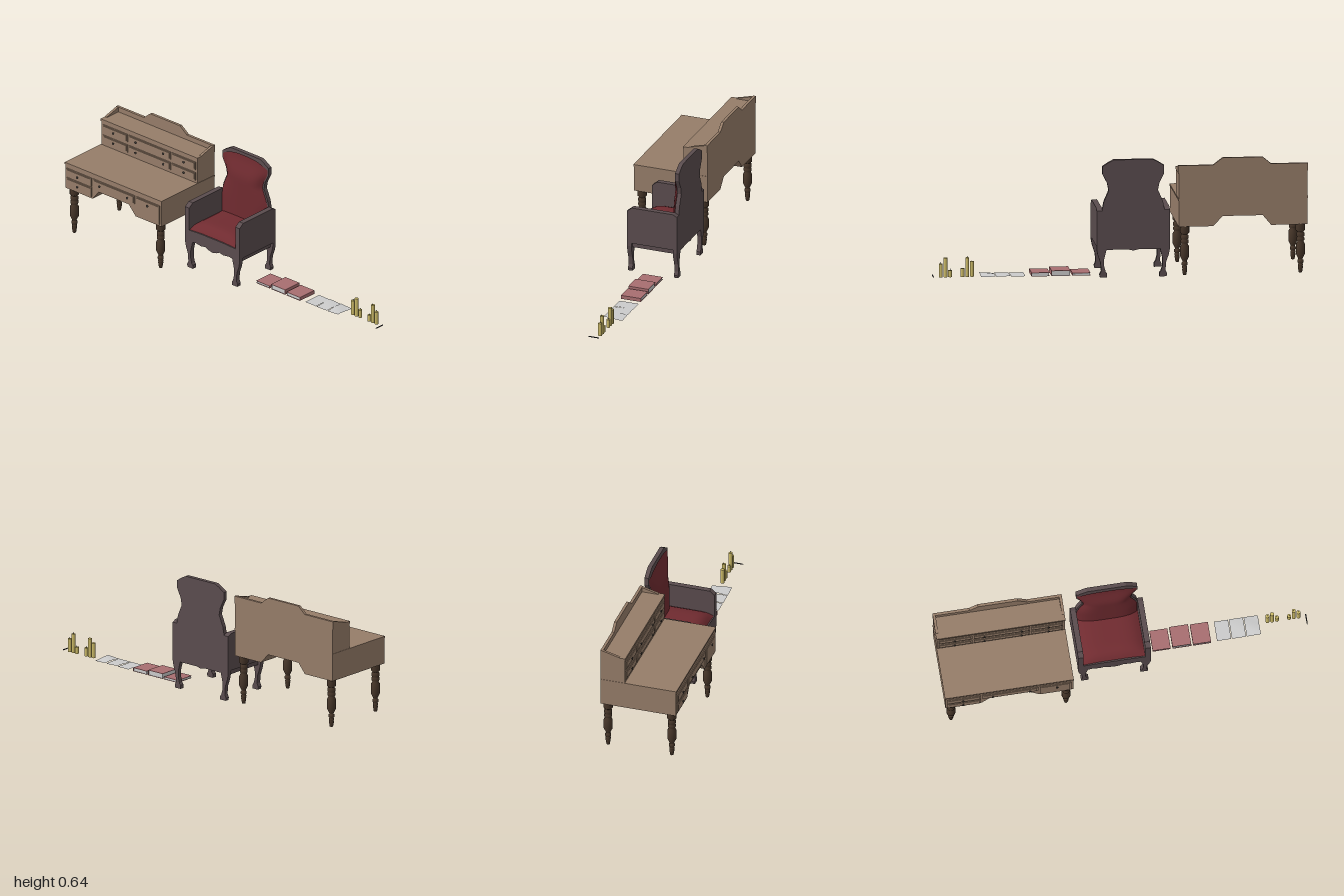
import * as THREE from 'three';

const mat = (color, extra = {}) => new THREE.MeshStandardMaterial({ color, ...extra });
const deskWood = mat(0x967d69);
const legWood = mat(0x48372a);
const chairWood = mat(0x5a4c4e);
const fabric = mat(0x702b30, { side: THREE.DoubleSide });
const coverMat = mat(0xa86e70);
const paperMat = mat(0xcccccc, { side: THREE.DoubleSide });
const wax = mat(0xcdbb68);
const dark = mat(0x2a2a2c);
const metal = mat(0x4a4440);

function add(parent, name, geo, material, x = 0, y = 0, z = 0) {
  const m = new THREE.Mesh(geo, material);
  m.name = name;
  m.position.set(x, y, z);
  parent.add(m);
  return m;
}

// box given by its limits
function box(parent, name, material, x0, x1, y0, y1, z0, z1) {
  return add(parent, name, new THREE.BoxGeometry(x1 - x0, y1 - y0, z1 - z0), material,
    (x0 + x1) / 2, (y0 + y1) / 2, (z0 + z1) / 2);
}

const extrude = (pts, depth) => new THREE.ExtrudeGeometry(
  new THREE.Shape(pts.map(p => new THREE.Vector2(...p))), { depth, bevelEnabled: false });

// outline in x, y drawn out from z0 to z1
const slabZ = (parent, name, material, pts, z0, z1) =>
  add(parent, name, extrude(pts, z1 - z0), material, 0, 0, z0);

// outline in z, y drawn out from x0 to x1
const slabX = (parent, name, material, pts, x0, x1) =>
  add(parent, name, extrude(pts, x1 - x0).rotateY(-Math.PI / 2), material, x1, 0, 0);

// square grid over u, v in -1..1 shaped by a rule
function patch(parent, name, material, rule) {
  const geo = new THREE.PlaneGeometry(2, 2, 16, 20);
  const p = geo.attributes.position;
  for (let i = 0; i < p.count; i++) p.setXYZ(i, ...rule(p.getX(i), p.getY(i)));
  geo.computeVertexNormals();
  return add(parent, name, geo, material);
}

function makeDesk() {
  const g = new THREE.Group();
  g.name = 'writingDesk';
  const L = -0.995, R = -0.305;
  // lower case with knee opening
  slabZ(g, 'deskCase', deskWood, [[L, 0.266], [-0.8, 0.266], [-0.755, 0.32], [-0.54, 0.32],
    [-0.49, 0.266], [R, 0.266], [R, 0.41], [L, 0.41]], -0.218, 0.203);
  box(g, 'deskTop', deskWood, L - 0.002, R + 0.002, 0.408, 0.418, -0.218, 0.206);
  // upper cabinet, its cap and rails
  box(g, 'upperCase', deskWood, L, R, 0.418, 0.557, -0.218, -0.082);
  box(g, 'upperTop', deskWood, L - 0.003, R + 0.003, 0.557, 0.57, -0.218, -0.079);
  for (const x of [L - 0.003, R - 0.012])
    slabX(g, 'sideRail', deskWood, [[-0.218, 0.565], [-0.108, 0.565], [-0.115, 0.573], [-0.205, 0.597], [-0.218, 0.598]], x, x + 0.015);
  slabZ(g, 'backRail', deskWood, [[L - 0.003, 0.56], [R + 0.003, 0.56], [R + 0.003, 0.598], [-0.49, 0.598],
    [-0.54, 0.636], [-0.755, 0.636], [-0.8, 0.598], [L - 0.003, 0.598]], -0.218, -0.203);

  // drawers: x limits, y limits, face z, knob positions
  const knobGeo = new THREE.LatheGeometry([[0.003, 0], [0.003, 0.004], [0.007, 0.006], [0.007, 0.008], [0, 0.009]]
    .map(p => new THREE.Vector2(...p)), 10).rotateX(Math.PI / 2);
  function drawer(x0, x1, y0, y1, z, knobs, knobY = (y0 + y1) / 2) {
    box(g, 'drawerFront', deskWood, x0, x1, y0, y1, z - 0.004, z + 0.003);
    box(g, 'drawerPanel', deskWood, x0 + 0.007, x1 - 0.007, y0 + 0.006, y1 - 0.006, z, z + 0.006);
    for (const x of knobs) add(g, 'drawerKnob', knobGeo, metal, x, knobY, z + 0.005);
  }
  for (const y of [0.434, 0.496]) {
    drawer(-0.983, -0.805, y, y + 0.045, -0.081, [-0.9]);
    drawer(-0.795, -0.495, y, y + 0.045, -0.081, [-0.74, -0.54]);
    drawer(-0.485, -0.317, y, y + 0.045, -0.081, [-0.395]);
  }
  drawer(-0.983, -0.805, 0.337, 0.387, 0.205, [-0.9]);
  drawer(-0.983, -0.805, 0.277, 0.332, 0.205, [-0.9]);
  drawer(-0.795, -0.495, 0.337, 0.387, 0.205, [-0.74, -0.54]);
  drawer(-0.485, -0.317, 0.277, 0.387, 0.205, [-0.395], 0.362);

  // turned legs
  const profile = [[0, 0], [0.009, 0], [0.014, 0.03], [0.011, 0.033], [0.014, 0.037], [0.014, 0.044],
    [0.01, 0.048], [0.016, 0.054], [0.016, 0.066], [0.011, 0.07], [0.012, 0.075], [0.024, 0.1], [0.024, 0.153],
    [0.016, 0.168], [0.021, 0.174], [0.021, 0.188], [0.016, 0.192], [0.021, 0.197], [0.021, 0.213],
    [0.016, 0.219], [0.018, 0.223], [0.025, 0.229], [0.025, 0.267]].map(p => new THREE.Vector2(...p));
  const legGeo = new THREE.LatheGeometry(profile, 16);
  for (const x of [-0.96, -0.34]) for (const z of [0.17, -0.186]) add(g, 'deskLeg', legGeo, legWood, x, 0, z);
  return g;
}

function makeChair() {
  const g = new THREE.Group();
  g.name = 'armchair';
  const W = 0.196, I = 0.166;
  const mirrored = pts => [...pts, ...pts.map(([x, y]) => [-x, y]).reverse()];
  // tall waisted back
  slabZ(g, 'chairBack', chairWood, mirrored([[I, 0.15], [I, 0.37], [0.158, 0.41], [0.132, 0.47], [0.14, 0.51],
    [0.165, 0.56], [0.165, 0.602], [0.13, 0.624], [0.105, 0.637]]), -0.218, -0.195);
  // arms and cabriole legs
  for (const s of [-1, 1]) {
    slabX(g, 'armPanel', chairWood, [[-0.218, 0.168], [0.068, 0.168], [0.068, 0.352], [0.04, 0.374],
      [-0.195, 0.374], [-0.218, 0.362]], s > 0 ? I : -W, s > 0 ? W : -I);
    const leg = [[0.14, 0], [0.178, 0], [0.181, 0.015], [0.172, 0.035], [0.176, 0.08], [0.19, 0.12], [W, 0.15],
      [W, 0.17], [0.14, 0.17], [0.146, 0.14], [0.156, 0.1], [0.156, 0.06], [0.148, 0.03], [0.14, 0.02]];
    const pts = s > 0 ? leg : leg.map(([x, y]) => [-x, y]).reverse();
    slabZ(g, 'frontLeg', chairWood, pts, 0.043, 0.068);
    slabZ(g, 'backLeg', chairWood, pts, -0.218, -0.195);
  }
  // scalloped apron and seat base
  const apron = mirrored([[0, 0.143], [0.03, 0.15], [0.05, 0.16], [0.08, 0.154], [0.12, 0.16], [0.15, 0.155],
    [I, 0.165], [I, 0.222], [0.08, 0.226]]);
  slabZ(g, 'frontApron', chairWood, apron, 0.043, 0.068);
  slabZ(g, 'backApron', chairWood, apron, -0.217, -0.196);
  box(g, 'seatBase', chairWood, -0.18, 0.18, 0.16, 0.2, -0.195, 0.043);
  for (const s of [-1, 1]) box(g, 'sideApron', chairWood, s * 0.172 - 0.008, s * 0.172 + 0.008, 0.14, 0.17, -0.195, 0.043);
  // domed seat cushion
  patch(g, 'seatCushion', fabric, (u, v) => {
    const front = Math.max(0, -v);
    return [u * I, 0.222 + 0.046 * (1 - 0.6 * u ** 4) * (1 - front ** 5), -0.066 - v * 0.129];
  });
  // padded backrest following the waist
  const halfWidth = y => {
    const ks = [[0.2, 0.164], [0.37, 0.163], [0.42, 0.147], [0.47, 0.125], [0.51, 0.133], [0.56, 0.159], [0.7, 0.161]];
    const i = Math.max(1, ks.findIndex(k => k[0] >= y));
    const [a, b] = [ks[i - 1], ks[i]];
    return THREE.MathUtils.lerp(a[1], b[1], (y - a[0]) / (b[0] - a[0]));
  };
  patch(g, 'backCushion', fabric, (u, v) => {
    const y = 0.23 + (v + 1) / 2 * (0.397 - 0.04 * Math.abs(u) ** 3);
    const fade = 1 - 0.75 * THREE.MathUtils.smoothstep(y, 0.49, 0.627);
    return [u * halfWidth(y), y, -0.196 + 0.037 * fade * (1 - 0.85 * u ** 4)];
  });
  g.position.x = -0.062;
  return g;
}

export function createModel() {
  const model = new THREE.Group();
  model.name = 'studyFurniture';
  model.add(makeDesk(), makeChair());

  // books: two covers, a spine and a page block
  for (const [x0, x1, h] of [[0.16, 0.257, 0.014], [0.267, 0.368, 0.029], [0.378, 0.475, 0.02]]) {
    const b = new THREE.Group();
    b.name = 'book';
    box(b, 'lowerCover', coverMat, x0, x1, 0, 0.002, -0.148, -0.034);
    box(b, 'upperCover', coverMat, x0, x1, h - 0.002, h, -0.148, -0.034);
    box(b, 'spine', coverMat, x1 - 0.003, x1, 0.002, h - 0.002, -0.148, -0.034);
    box(b, 'pages', paperMat, x0 + 0.003, x1 - 0.003, 0.002, h - 0.002, -0.145, -0.037);
    model.add(b);
  }

  // loose sheets with slightly lifted edges
  [0.546, 0.626, 0.706].forEach((x, i) => patch(model, 'paperSheet', paperMat, (u, v) =>
    [x + u * 0.038, 0.003 + 0.003 * i * (0.5 + 0.5 * Math.sin(2.2 * v + u + i)), -0.094 - v * 0.055]));

  // candles with wicks
  for (const [x, h] of [[0.79, 0.083], [0.815, 0.103], [0.841, 0.045], [0.907, 0.036], [0.932, 0.104], [0.957, 0.072]]) {
    add(model, 'candle', new THREE.CylinderGeometry(0.0105, 0.0105, h, 12), wax, x, h / 2, -0.1075);
    add(model, 'wick', new THREE.CylinderGeometry(0.001, 0.001, 0.009, 6), dark, x, h + 0.004, -0.1075);
  }

  // pen lying beside the candles
  add(model, 'penBarrel', new THREE.CylinderGeometry(0.003, 0.003, 0.05, 8).rotateX(Math.PI / 2), dark, 0.997, 0.003, -0.09);
  add(model, 'penTip', new THREE.ConeGeometry(0.003, 0.01, 8).rotateX(Math.PI / 2), dark, 0.997, 0.003, -0.06);
  return model;
}
